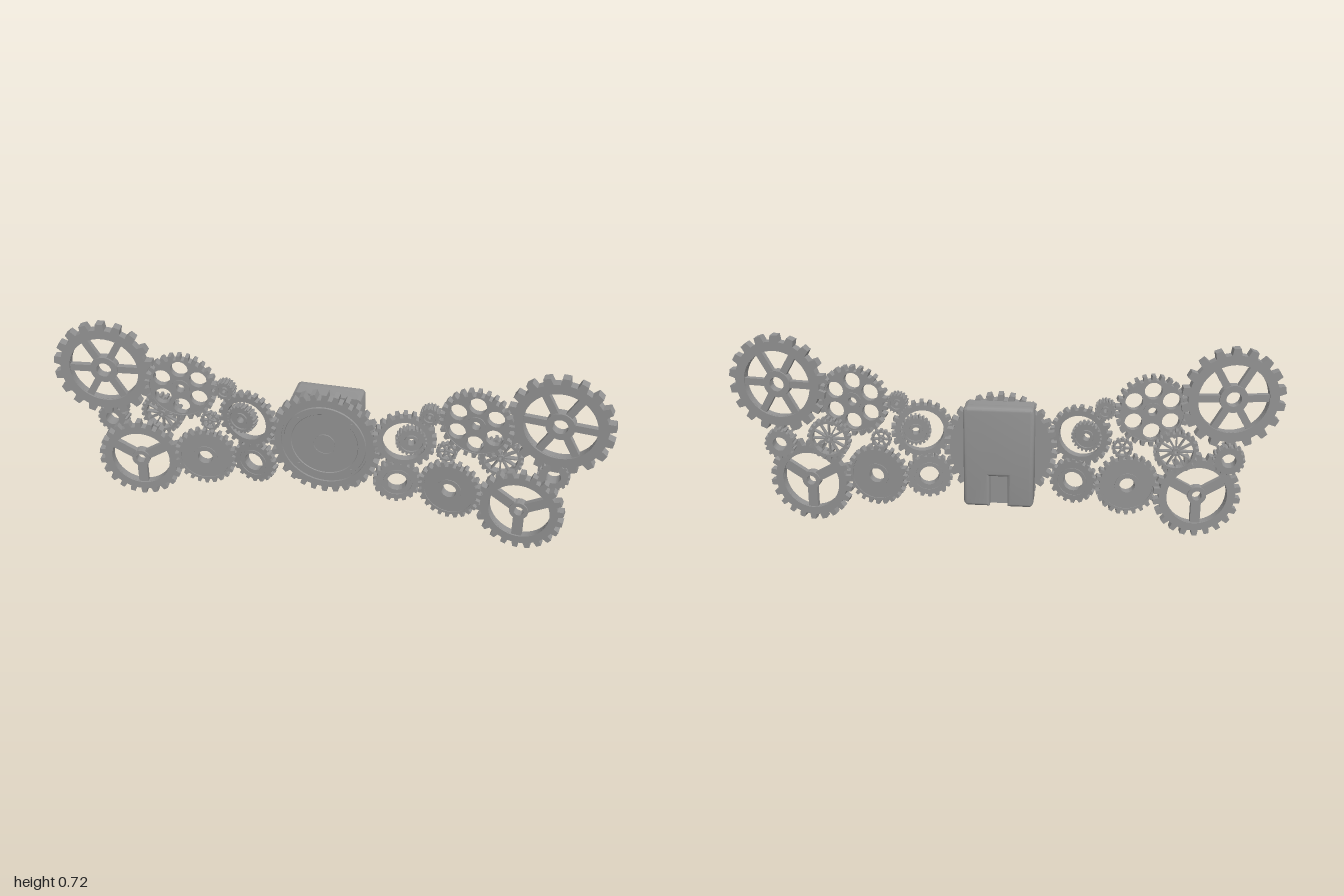
import * as THREE from 'three';
import { toCreasedNormals } from 'three/addons/utils/BufferGeometryUtils.js';

const material = new THREE.MeshStandardMaterial({ color: 0x929292 });

function mesh(geometry, name) {
  const m = new THREE.Mesh(toCreasedNormals(geometry, 0.5), material);
  m.name = name;
  return m;
}

// Flat shape extruded about z = 0
function plate(shape, depth, name, segments = 20) {
  const g = new THREE.ExtrudeGeometry(shape, { depth, bevelEnabled: false, curveSegments: segments });
  g.translate(0, 0, -depth / 2);
  return mesh(g, name);
}

function circleHole(shape, x, y, r) {
  shape.holes.push(new THREE.Path().absarc(x, y, r, 0, Math.PI * 2, true));
}

// Outline with trapezoid teeth
function toothedShape(R, root, teeth) {
  const pts = [];
  for (let i = 0; i < teeth; i++) {
    for (const [f, r] of [[-0.5, root], [-0.3, root], [-0.2, R], [0.2, R], [0.3, root]]) {
      const a = Math.PI / 2 + ((i + f) / teeth) * Math.PI * 2;
      pts.push(new THREE.Vector2(Math.cos(a) * r, Math.sin(a) * r));
    }
  }
  return new THREE.Shape(pts);
}

// Windows between straight spokes
function cutWindows(shape, count, start, inner, outer, width) {
  const step = (Math.PI * 2) / count;
  const dIn = Math.asin(width / 2 / inner), dOut = Math.asin(width / 2 / outer);
  for (let i = 0; i < count; i++) {
    const a = start + i * step, b = a + step;
    const p = new THREE.Path();
    p.absarc(0, 0, outer, a + dOut, b - dOut, false);
    p.absarc(0, 0, inner, b - dIn, a + dIn, true);
    p.closePath();
    shape.holes.push(p);
  }
}

function ring(outer, inner, depth, name) {
  const s = new THREE.Shape().absarc(0, 0, outer, 0, Math.PI * 2, false);
  circleHole(s, 0, 0, inner);
  return plate(s, depth, name);
}

// Gear: toothed rim, optional thinner web with spokes or round holes, and a hub
function gear(o) {
  const g = new THREE.Group();
  g.name = o.name;
  const rim = toothedShape(o.R, o.R * 0.87, o.teeth);
  circleHole(rim, 0, 0, o.open);
  g.add(plate(rim, o.depth, 'toothedRim', 24));
  if (o.hub) {
    const web = new THREE.Shape().absarc(0, 0, o.open + 0.002, 0, Math.PI * 2, false);
    circleHole(web, 0, 0, o.bore);
    if (o.spokes) cutWindows(web, o.spokes, o.start, o.hub * 0.97, o.open * 0.995, o.width);
    if (o.holes) {
      for (let i = 0; i < o.holes; i++) {
        const a = Math.PI / 6 + (i / o.holes) * Math.PI * 2;
        circleHole(web, Math.cos(a) * o.holeAt, Math.sin(a) * o.holeAt, o.holeR);
      }
    }
    g.add(plate(web, o.depth * (o.web ?? 0.6), 'web'));
    g.add(ring(o.hub, o.bore, o.depth, 'hub'));
  }
  return g;
}

const OUT = 0.12, IN = -0.17;
const gears = [
  { name: 'upperSpokedGear', x: 0.815, y: 0.533, z: 0.042, tilt: OUT, R: 0.184, teeth: 18, depth: 0.034, open: 0.126, hub: 0.05, bore: 0.027, spokes: 6, start: 0, width: 0.026 },
  { name: 'lowerSpokedGear', x: 0.709, y: 0.16, z: 0.037, tilt: OUT, R: 0.159, teeth: 22, depth: 0.032, open: 0.11, hub: 0.034, bore: 0.018, spokes: 3, start: Math.PI / 6, width: 0.036 },
  { name: 'roundHoledGear', x: 0.535, y: 0.483, z: 0.023, tilt: OUT, R: 0.132, teeth: 26, depth: 0.032, open: 0.112, hub: 0.033, bore: 0.016, holes: 6, holeAt: 0.076, holeR: 0.031, web: 0.75 },
  { name: 'solidGear', x: 0.457, y: 0.197, z: 0.023, tilt: OUT, R: 0.116, teeth: 24, depth: 0.032, open: 0.092, hub: 0.045, bore: 0.028, web: 0.8 },
  { name: 'fineSpokedGear', x: 0.625, y: 0.343, z: -0.004, tilt: 0, R: 0.08, teeth: 22, depth: 0.03, open: 0.06, hub: 0.014, bore: 0.006, spokes: 12, start: 0, width: 0.005 },
  { name: 'outerSmallGear', x: 0.812, y: 0.313, z: 0.014, tilt: 0, R: 0.057, teeth: 16, depth: 0.045, open: 0.026 },
  { name: 'tinyHoledGear', x: 0.436, y: 0.343, z: 0.008, tilt: 0, R: 0.038, teeth: 12, depth: 0.022, open: 0.027, hub: 0.011, bore: 0.005, spokes: 6, start: 0, width: 0.006 },
  { name: 'tinyGear', x: 0.372, y: 0.487, z: 0.01, tilt: 0, R: 0.037, teeth: 18, depth: 0.04, open: 0.022, hub: 0.014, bore: 0.007 },
  { name: 'openRingGear', x: 0.287, y: 0.38, z: 0.023, tilt: IN, R: 0.112, teeth: 22, depth: 0.03, open: 0.078 },
  { name: 'nestedGear', x: 0.31, y: 0.38, z: 0.019, tilt: IN, R: 0.056, teeth: 22, depth: 0.034, open: 0.041, hub: 0.025, bore: 0.014 },
  { name: 'innerLowerGear', x: 0.265, y: 0.205, z: 0.023, tilt: IN, R: 0.086, teeth: 18, depth: 0.032, open: 0.056, hub: 0.05, bore: 0.036, web: 0.8 },
];

// Rounded rectangle, with an optional notch in its bottom edge
function caseOutline(w, h, r, notch) {
  const s = new THREE.Shape(), x = w / 2 - r, y = h / 2 - r;
  s.absarc(x, y, r, 0, Math.PI / 2, false);
  s.absarc(-x, y, r, Math.PI / 2, Math.PI, false);
  s.absarc(-x, -y, r, Math.PI, Math.PI * 1.5, false);
  if (notch) {
    s.lineTo(-notch.half, -h / 2);
    s.lineTo(-notch.half, notch.top);
    s.lineTo(notch.half, notch.top);
    s.lineTo(notch.half, -h / 2);
  }
  s.absarc(x, -y, r, Math.PI * 1.5, Math.PI * 2, false);
  return s;
}

// Rear case, notched at the bottom of its back face
function rearCase() {
  const g = new THREE.Group();
  g.name = 'rearCase';
  const w = 0.25, h = 0.376, b = 0.012, r = 0.006;
  const front = plate(caseOutline(w, h, r + b), 0.05, 'caseBody', 6);
  front.position.z = -0.021;
  const outline = caseOutline(w - 2 * b, h - 2 * b, r, { half: 0.032 + b, top: -0.072 + b });
  const geo = new THREE.ExtrudeGeometry(outline, { depth: 0.026, bevelThickness: b, bevelSize: b, bevelSegments: 4, curveSegments: 6 });
  geo.translate(0, 0, -0.068);
  g.add(front, mesh(geo, 'caseBack'));
  g.position.y = 0.319;
  return g;
}

// Large central gear with a stepped round face
function centralGear() {
  const g = new THREE.Group();
  g.name = 'centralGear';
  const rim = toothedShape(0.205, 0.184, 30);
  circleHole(rim, 0, 0, 0.16);
  const body = plate(rim, 0.042, 'toothedRim', 32);
  body.position.z = 0.02;
  const profile = [[0, -0.001], [0.162, -0.001], [0.162, 0.034], [0.152, 0.034], [0.15, 0.039],
    [0.124, 0.039], [0.122, 0.036], [0.042, 0.036], [0.042, 0.033], [0.038, 0.033], [0.038, 0.038], [0, 0.038]];
  const geo = new THREE.LatheGeometry(profile.map(([r, h]) => new THREE.Vector2(r, h)), 64);
  geo.rotateX(Math.PI / 2);
  g.add(body, mesh(geo, 'face'));
  // Small studs around the face
  for (let i = 0; i < 4; i++) {
    const a = Math.PI / 4 + (i * Math.PI) / 2;
    const stud = mesh(new THREE.CylinderGeometry(0.005, 0.005, 0.006, 10).rotateX(Math.PI / 2), 'stud');
    stud.position.set(Math.cos(a) * 0.137, Math.sin(a) * 0.137, 0.039);
    g.add(stud);
  }
  g.position.y = 0.325;
  return g;
}

export function createModel() {
  const model = new THREE.Group();
  model.name = 'gearTrain';
  model.add(rearCase(), centralGear());
  // Mirrored wings of gears
  for (const [side, label] of [[1, 'leftWing'], [-1, 'rightWing']]) {
    const wing = new THREE.Group();
    wing.name = label;
    for (const o of gears) {
      const item = gear(o);
      item.position.set(side * o.x, o.y, o.z);
      item.rotation.y = -side * o.tilt;
      wing.add(item);
    }
    model.add(wing);
  }
  return model;
}
